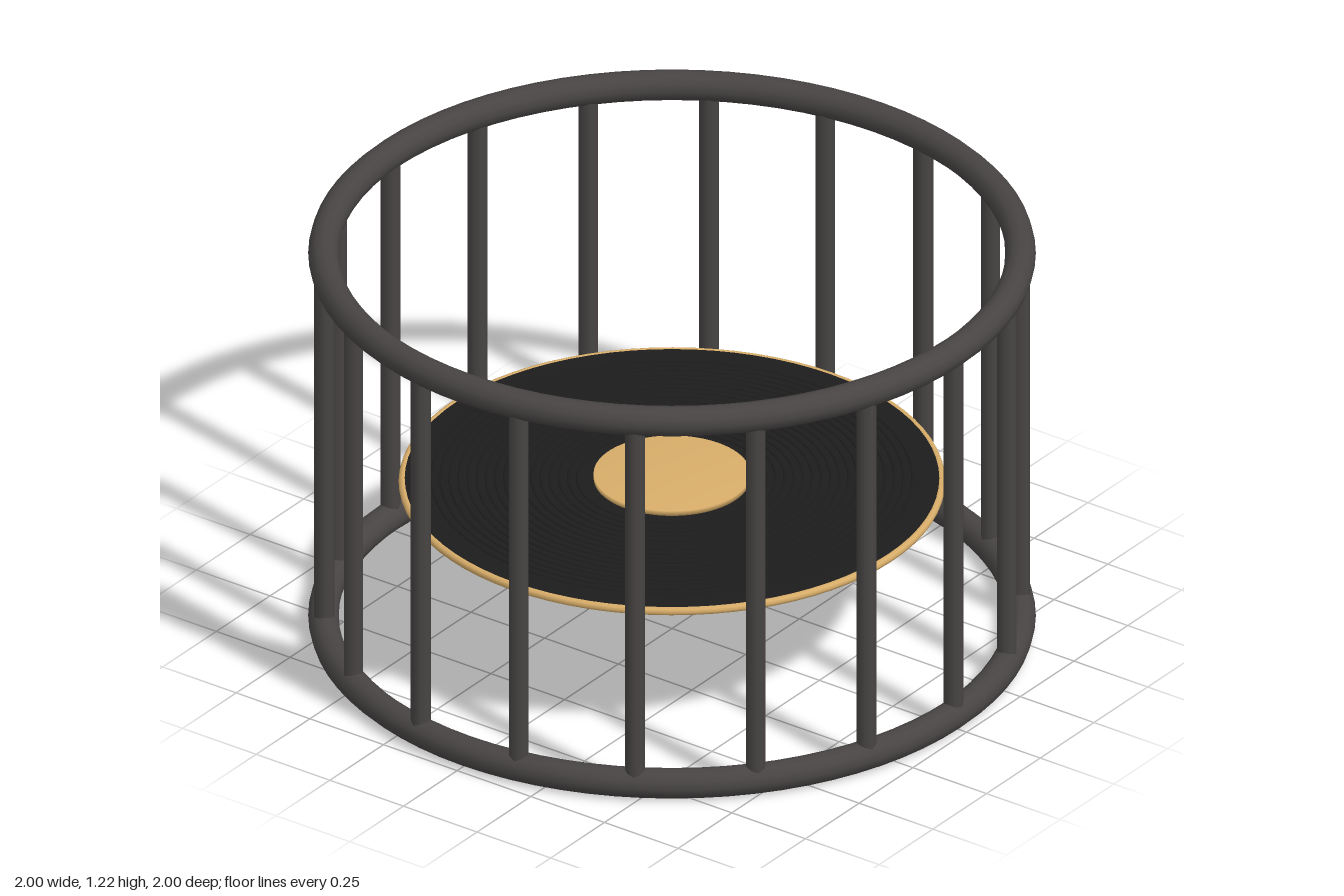
import * as THREE from 'three';

const mat = (name, color) => {
  const m = new THREE.MeshStandardMaterial({ color });
  m.name = name;
  return m;
};

export function createModel() {
  const model = new THREE.Group();
  model.name = 'roundCageTable';
  const iron = mat('dark iron', 0x484444);
  const black = mat('black', 0x1c1c1c);
  const gold = mat('gold', 0xd8ad69);

  const add = (name, geometry, material, y = 0, parent = model) => {
    const mesh = new THREE.Mesh(geometry, material);
    mesh.name = name;
    mesh.position.y = y;
    parent.add(mesh);
    return mesh;
  };
  const ring = (radius, tube, sides, segments) =>
    new THREE.TorusGeometry(radius, tube, sides, segments).rotateX(Math.PI / 2);
  const lathe = (points) =>
    new THREE.LatheGeometry(points.map(([x, y]) => new THREE.Vector2(x, y)), 72);

  // Cage: two hoops joined by evenly spaced upright bars
  const R = 0.956, TUBE = 0.042, TOP = 1.176;
  add('bottomHoop', ring(R, TUBE, 12, 80), iron, TUBE);
  add('topHoop', ring(R, TUBE, 12, 80), iron, TOP);

  const bars = new THREE.Group();
  bars.name = 'bars';
  model.add(bars);
  const barGeometry = new THREE.CylinderGeometry(0.028, 0.028, TOP - TUBE, 8);
  for (let i = 0; i < 18; i++) {
    const a = (i / 18) * Math.PI * 2;
    const bar = add('bar', barGeometry, iron, (TOP + TUBE) / 2, bars);
    bar.position.x = R * Math.cos(a);
    bar.position.z = R * Math.sin(a);
    bar.rotation.y = -a;
  }

  // Grooved disc with a gold rim
  add('disc', new THREE.CylinderGeometry(0.738, 0.738, 0.02, 72), black, 0.461);
  add('discRim', ring(0.738, 0.012, 8, 80), gold, 0.461);

  const grooves = new THREE.Group();
  grooves.name = 'grooves';
  model.add(grooves);
  for (let i = 0; i < 17; i++) {
    add('groove', ring(0.26 + i * 0.025, 0.004, 6, 72), black, 0.47, grooves);
  }

  // Raised centre plate with a softly shaded edge
  add('centrePlate', lathe([[0, 0], [0.215, 0], [0.215, 0.016], [0, 0.016]]), gold, 0.47);

  return model;
}
